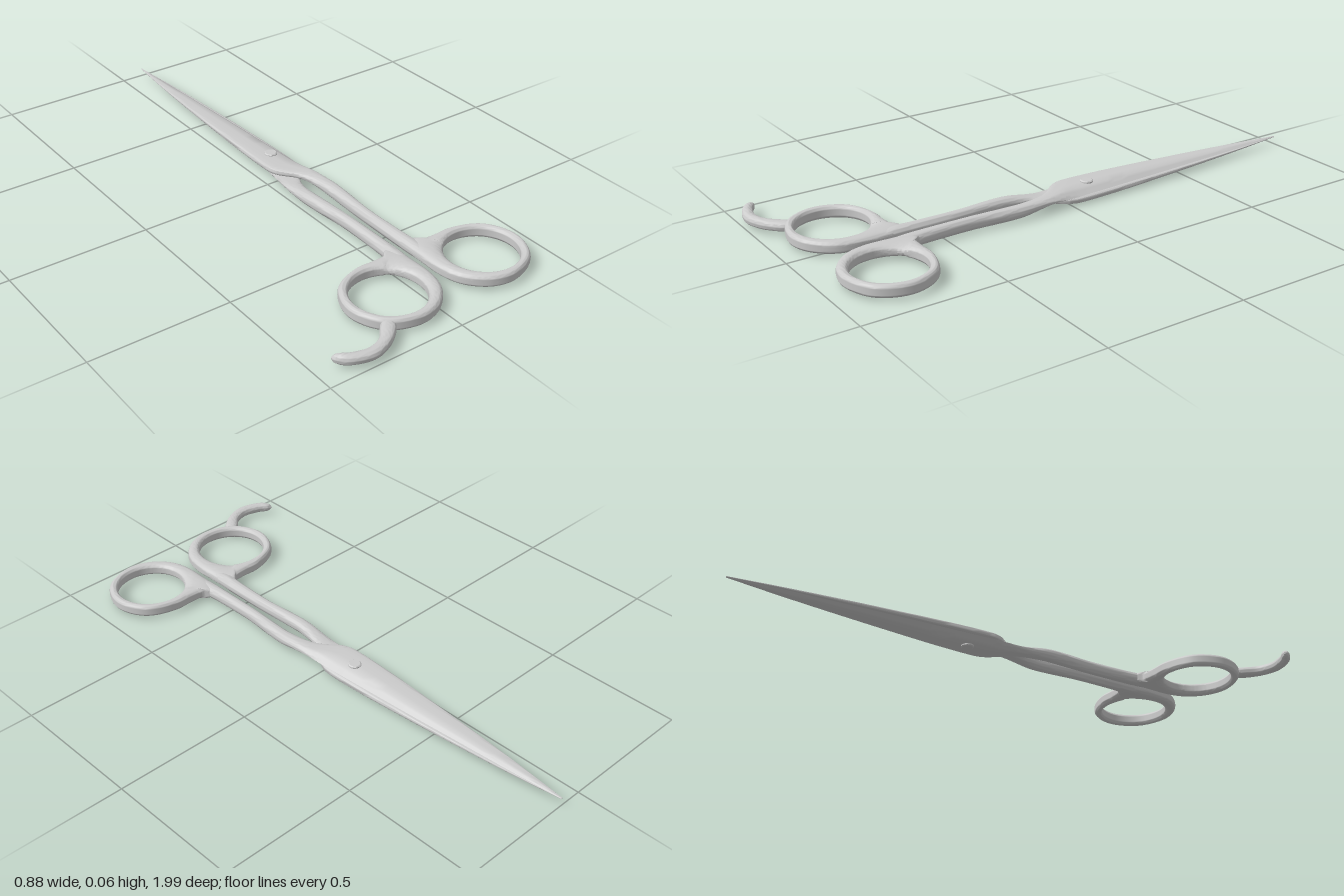
import * as THREE from 'three';
import { toCreasedNormals } from 'three/addons/utils/BufferGeometryUtils.js';

const SIDES = 32;
const MID = 0.029; // height of the plane where the two blades meet
const UP = new THREE.Vector3(0, 1, 0);
const steel = new THREE.MeshStandardMaterial({ color: 0xcccccc });

// Skins a list of equal rings; closed joins the last ring to the first
function loft(rings, closed = false) {
  const pos = [], index = [], n = rings.length;
  rings.forEach(r => r.forEach(p => pos.push(p.x, p.y, p.z)));
  for (let i = 0; i < (closed ? n : n - 1); i++) {
    for (let j = 0; j < SIDES; j++) {
      const k = (j + 1) % SIDES, m = (i + 1) % n;
      const a = i * SIDES + j, b = i * SIDES + k, c = m * SIDES + j, d = m * SIDES + k;
      index.push(a, b, c, b, d, c);
    }
  }
  if (!closed) {
    for (const i of [0, n - 1]) {
      const mid = new THREE.Vector3();
      rings[i].forEach(p => mid.addScaledVector(p, 1 / SIDES));
      const c = pos.length / 3;
      pos.push(mid.x, mid.y, mid.z);
      for (let j = 0; j < SIDES; j++) {
        const a = i * SIDES + j, b = i * SIDES + (j + 1) % SIDES;
        if (i === 0) index.push(c, b, a);
        else index.push(c, a, b);
      }
    }
  }
  const geo = new THREE.BufferGeometry();
  geo.setAttribute('position', new THREE.Float32BufferAttribute(pos, 3));
  geo.setIndex(index);
  return toCreasedNormals(geo, 0.7);
}

// Superellipse ring; bevel slopes the upper face down to the +side edge
function section(center, side, halfW, halfH, power = 1, bevel = 0) {
  const ring = [];
  for (let j = 0; j < SIDES; j++) {
    const a = (j / SIDES) * Math.PI * 2;
    const u = Math.sign(Math.cos(a)) * Math.abs(Math.cos(a)) ** power;
    let v = Math.sign(Math.sin(a)) * Math.abs(Math.sin(a)) ** power;
    const cut = Math.min(v, -1 + 4 * (1 - u));
    v += (Math.max(cut, -1) - v) * bevel;
    ring.push(center.clone().addScaledVector(side, u * halfW).addScaledVector(UP, v * halfH));
  }
  return ring;
}

function mesh(name, geo) {
  const m = new THREE.Mesh(geo, steel);
  m.name = name;
  return m;
}

// Blade running into its shank: z, left x, right x, bottom y, top y, bladeness
function bladeAndShank() {
  const rows = [
    [-1, 0.083, 0.087, 0.029, 0.031, 1],
    [-0.8, 0.062, 0.102, 0.029, 0.036, 1],
    [-0.6, 0.046, 0.114, 0.029, 0.041, 1],
    [-0.4, 0.033, 0.126, 0.029, 0.046, 1],
    [-0.2, 0.023, 0.136, 0.029, 0.051, 1],
    [-0.05, 0.02, 0.143, 0.029, 0.053, 1],
    [0, 0.028, 0.147, 0.029, 0.053, 0.9],
    [0.03, 0.046, 0.149, 0.029, 0.053, 0.75],
    [0.07, 0.078, 0.151, 0.028, 0.053, 0.45],
    [0.12, 0.098, 0.154, 0.022, 0.053, 0.15],
    [0.2, 0.108, 0.157, 0.01, 0.053, 0],
    [0.28, 0.107, 0.152, 0.007, 0.053, 0],
    [0.4, 0.103, 0.142, 0.007, 0.053, 0],
    [0.55, 0.101, 0.145, 0.007, 0.053, 0],
    [0.64, 0.101, 0.15, 0.007, 0.052, 0],
    [0.71, 0.104, 0.14, 0.014, 0.046, 0],
  ];
  const curve = k => new THREE.CatmullRomCurve3(
    rows.map(r => new THREE.Vector3(r[k], r[k + 1], r[k + 2])), false, 'catmullrom', 0.5);
  const plan = curve(0), height = curve(3), rings = [], side = new THREE.Vector3(1, 0, 0);
  for (let i = 0; i <= 90; i++) {
    const p = plan.getPoint(i / 90), h = height.getPoint(i / 90);
    const k = THREE.MathUtils.clamp(h.z, 0, 1);
    rings.push(section(new THREE.Vector3((p.y + p.z) / 2, (h.x + h.y) / 2, p.x), side,
      (p.z - p.y) / 2, (h.y - h.x) / 2, 0.85 - 0.5 * k, k));
  }
  return loft(rings);
}

// Finger ring: round hole, outer outline swelling where the shank joins
function fingerRing() {
  const outline = [
    [0.156, 0], [0.11, 0.11], [0, 0.156], [-0.07, 0.146], [-0.12, 0.115], [-0.16, 0.065],
    [-0.178, 0], [-0.18, -0.085], [-0.174, -0.165], [-0.15, -0.19], [-0.132, -0.18],
    [-0.118, -0.164], [-0.09, -0.16], [-0.06, -0.158], [0, -0.157], [0.11, -0.11],
  ];
  const curve = new THREE.CatmullRomCurve3(outline.map(([x, z]) => new THREE.Vector3(x, 0, z)), true);
  const rings = [], inner = 0.123;
  for (let i = 0; i < 96; i++) {
    const p = curve.getPoint(i / 96), outer = p.length(), side = p.clone().normalize();
    const center = side.clone().multiplyScalar((inner + outer) / 2);
    rings.push(section(center, side, (outer - inner) / 2, 0.0225, 0.85));
  }
  return loft(rings, true).translate(0.28, 0.03, 0.785);
}

function scissorHalf(name) {
  const half = new THREE.Group();
  half.name = name;
  half.add(mesh('bladeAndShank', bladeAndShank()), mesh('fingerRing', fingerRing()));
  return half;
}

// Curved rest for the little finger: x, z, half width
function fingerRest() {
  const rows = [
    [-0.195, 0.885, 0.022], [-0.222, 0.918, 0.025], [-0.268, 0.957, 0.02], [-0.33, 0.975, 0.02],
    [-0.395, 0.958, 0.018], [-0.427, 0.932, 0.013], [-0.436, 0.921, 0.004],
  ];
  const path = new THREE.CatmullRomCurve3(rows.map(r => new THREE.Vector3(r[0], MID, r[1])), false, 'catmullrom');
  const width = new THREE.CatmullRomCurve3(rows.map((r, i) => new THREE.Vector3(i, r[2], 0)), false, 'catmullrom');
  const rings = [];
  for (let i = 0; i <= 40; i++) {
    const t = i / 40, w = width.getPoint(t).y;
    const side = new THREE.Vector3().crossVectors(UP, path.getTangent(t)).normalize();
    rings.push(section(path.getPoint(t), side, w, Math.min(0.0175, w * 1.1), 0.85));
  }
  return loft(rings);
}

export function createModel() {
  const model = new THREE.Group();
  model.name = 'scissors';

  // The lower half is the upper one turned over about the blade axis
  const upper = scissorHalf('upperHalf');
  const lower = scissorHalf('lowerHalf');
  lower.rotation.z = Math.PI;
  lower.position.set(0.17, MID * 2, 0);
  model.add(upper, lower, mesh('fingerRest', fingerRest()));

  // Pivot screw with softened rims
  const profile = [[0, 0], [0.019, 0], [0.023, 0.003], [0.023, 0.055], [0.019, 0.058], [0, 0.058]];
  const screw = mesh('pivotScrew', toCreasedNormals(
    new THREE.LatheGeometry(profile.map(p => new THREE.Vector2(...p)), 32), 0.5));
  screw.position.set(0.085, 0, -0.1);
  model.add(screw);
  return model;
}
